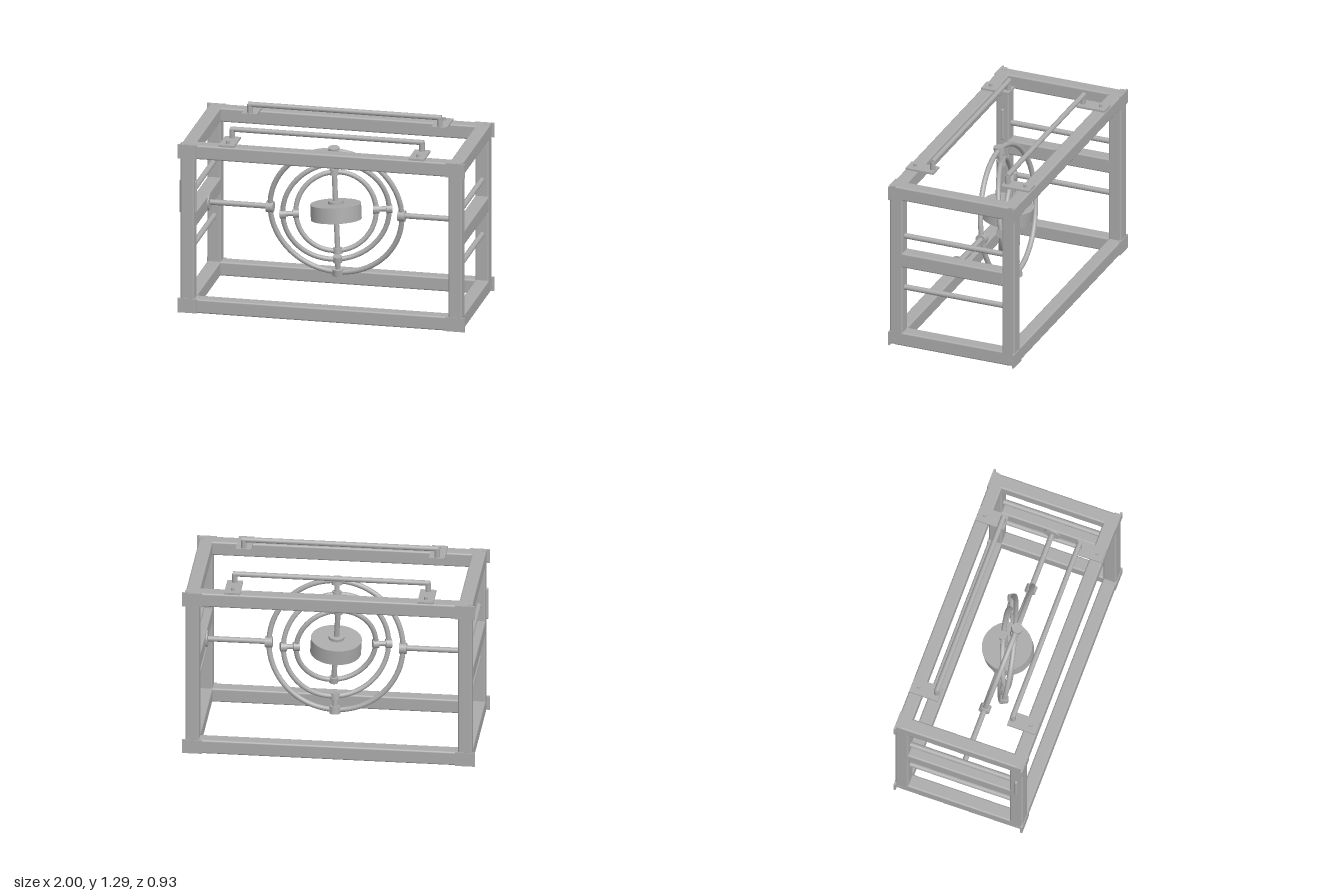
import * as THREE from 'three';
import { RoundedBoxGeometry } from 'three/addons/geometries/RoundedBoxGeometry.js';

const steel = new THREE.MeshStandardMaterial({ color: 0xababab });
steel.name = 'grey steel';

function add(parent, name, geometry, x = 0, y = 0, z = 0) {
  const mesh = new THREE.Mesh(geometry, steel);
  mesh.name = name;
  mesh.position.set(x, y, z);
  parent.add(mesh);
  return mesh;
}

const box = (p, name, w, h, d, x, y, z) => add(p, name, new THREE.BoxGeometry(w, h, d), x, y, z);
const beam = (p, name, w, h, d, x, y, z) =>
  add(p, name, new RoundedBoxGeometry(w, h, d, 2, 0.012), x, y, z);

// Round bar along the chosen axis
function rod(p, name, axis, radius, length, x, y, z, segments = 24) {
  const g = new THREE.CylinderGeometry(radius, radius, length, segments);
  if (axis === 'x') g.rotateZ(Math.PI / 2);
  if (axis === 'z') g.rotateX(Math.PI / 2);
  return add(p, name, g, x, y, z);
}

const SIDES = [-1, 1];

function buildFrame() {
  const frame = new THREE.Group();
  frame.name = 'frame';
  for (const s of SIDES) {
    for (const y of [0.05, 1.15]) {
      beam(frame, 'longBeam', 1.95, 0.1, 0.093, 0, y, s * 0.413);
      beam(frame, 'endBeam', 0.095, 0.1, 0.86, s * 0.932, y, 0);
    }
    beam(frame, 'middleEndBeam', 0.095, 0.108, 0.76, s * 0.932, 0.648, 0);
    for (const y of [0.428, 0.817]) rod(frame, 'endRod', 'z', 0.019, 0.76, s * 0.932, y, 0);
    for (const t of SIDES) {
      beam(frame, 'post', 0.095, 1.196, 0.093, s * 0.932, 0.6, t * 0.413);
      // Corner plates and small locating tabs
      for (const y of [0.05, 1.15]) {
        box(frame, 'cornerPlate', 0.135, 0.1, 0.014, s * 0.9325, y, t * 0.457);
        box(frame, 'cornerTab', 0.045, 0.03, 0.035, s * 0.96, y < 0.5 ? 0.035 : 1.187, t * 0.433);
      }
    }
  }
  // Narrow plate set through one post
  add(frame, 'postInsert', new RoundedBoxGeometry(0.122, 0.235, 0.022, 2, 0.01), -0.935, 0.817, 0.413);
  return frame;
}

function buildHandle(side) {
  const handle = new THREE.Group();
  handle.name = 'handle';
  rod(handle, 'handleBar', 'x', 0.018, 1.345, 0, 1.273, side * 0.275);
  for (const s of SIDES) {
    box(handle, 'handlePlate', 0.108, 0.014, 0.205, s * 0.66, 1.206, side * 0.3525);
    rod(handle, 'handlePost', 'y', 0.019, 0.075, s * 0.66, 1.237, side * 0.275);
    rod(handle, 'plateBolt', 'y', 0.013, 0.03, s * 0.66, 1.217, side * 0.405);
  }
  return handle;
}

// A ring with four bearing collars
function buildRing(name, radius, tube, collar, length) {
  const ring = new THREE.Group();
  ring.name = name;
  add(ring, 'hoop', new THREE.TorusGeometry(radius, tube, 14, 80));
  for (const s of SIDES) {
    rod(ring, 'sideCollar', 'x', collar, length, s * radius, 0, 0);
    rod(ring, 'verticalCollar', 'y', collar, length, 0, s * radius, 0);
  }
  return ring;
}

function buildGimbal() {
  const outer = buildRing('outerRing', 0.458, 0.018, 0.038, 0.05);
  const middle = buildRing('middleRing', 0.362, 0.017, 0.032, 0.042);
  const inner = buildRing('innerRing', 0.273, 0.017, 0.031, 0.042);
  outer.position.y = 0.645;
  outer.rotation.x = 0.14;
  middle.rotation.y = 0.27;
  inner.rotation.x = -0.25;
  outer.add(middle);
  middle.add(inner);
  for (const s of SIDES) {
    rod(outer, 'verticalPivot', 'y', 0.018, 0.1, 0, s * 0.41, 0);
    rod(middle, 'sidePivot', 'x', 0.018, 0.09, s * 0.318, 0, 0);
  }

  // Spinning wheel on its shaft
  const rotor = new THREE.Group();
  rotor.name = 'rotor';
  rod(rotor, 'shaft', 'y', 0.018, 0.54, 0, 0, 0);
  rod(rotor, 'wheel', 'y', 0.173, 0.108, 0, 0, 0, 64);
  rod(rotor, 'hub', 'y', 0.053, 0.146, 0, 0, 0, 32);
  inner.add(rotor);
  return outer;
}

export function createModel() {
  const model = new THREE.Group();
  model.name = 'gyroscopeStand';
  model.add(buildFrame(), buildGimbal());
  for (const s of SIDES) {
    model.add(buildHandle(s));
    // Fixed axles carrying the outer ring
    rod(model, 'axle', 'x', 0.019, 0.45, s * 0.665, 0.648, 0);
    rod(model, 'axleFlange', 'x', 0.058, 0.012, s * 0.88, 0.648, 0, 32);
  }
  return model;
}
